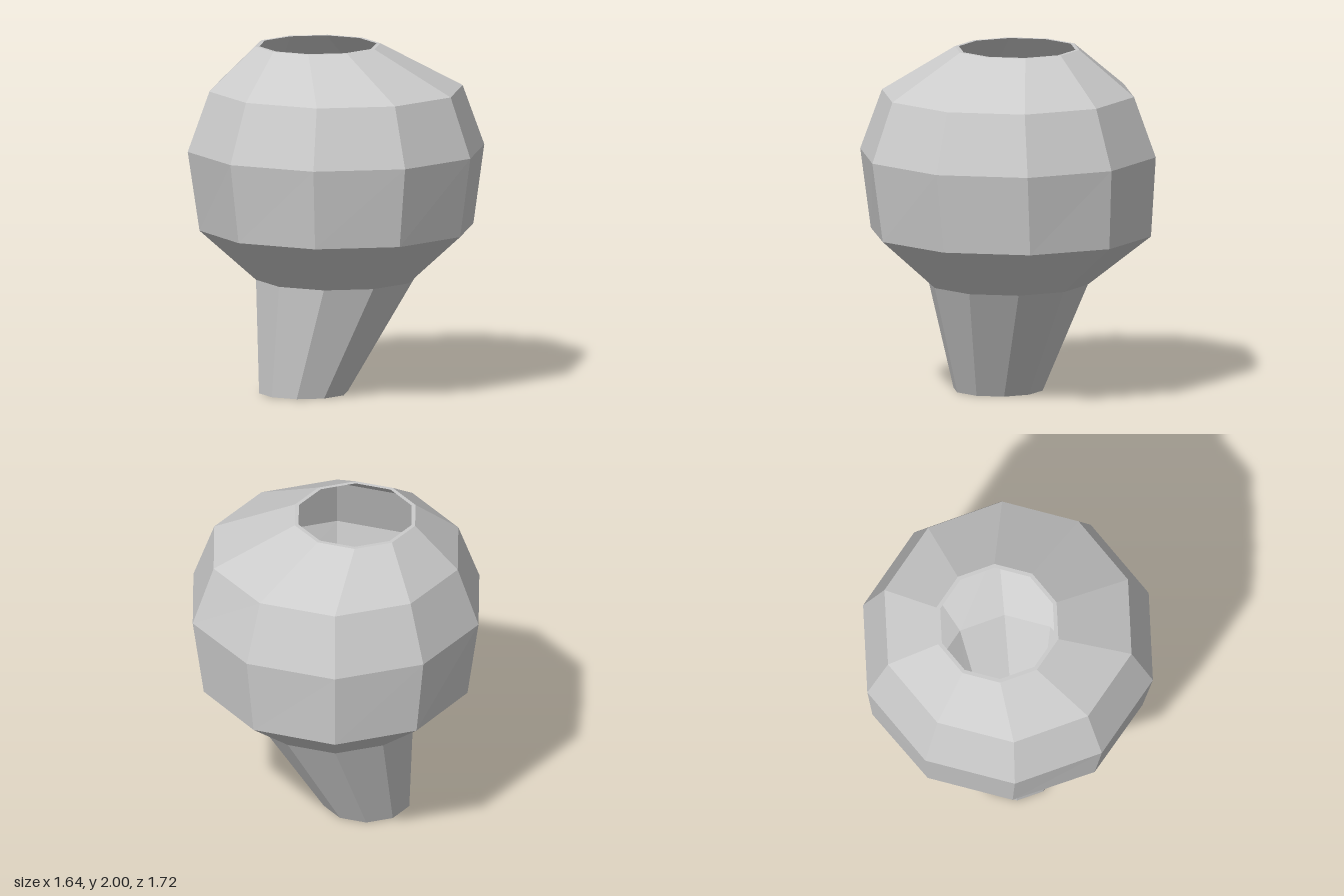
import * as THREE from 'three';

const SIDES = 10;

// Ten-sided rings: [centre x, y, centre z, radius along x, radius along z]
const OUTER = [
  [-0.175, 0, 0.09, 0.258, 0.26],      // foot
  [0, 0.655, 0, 0.465, 0.465],         // top of stem
  [0, 0.947, -0.017, 0.795, 0.817],    // underside edge
  [0, 1.408, 0, 0.862, 0.862],         // widest
  [0, 1.755, 0, 0.736, 0.735],         // shoulder
  [-0.11, 2, -0.033, 0.363, 0.363],    // mouth
];

// Inner wall: the same rings pulled in, with [radius inset, y shift]
const INSET = [[0.02, 0], [0.024, 0.008], [0.022, 0.01], [0.022, 0], [0.022, -0.01], [0.023, 0]];
const INNER = OUTER.map(([x, y, z, rx, rz], i) =>
  [x, y + INSET[i][1], z, rx - INSET[i][0], rz - INSET[i][0]]);

// Joins consecutive rings with flat quads
function loft(name, rings, material) {
  const pos = [];
  const corner = ([x, y, z, rx, rz], j) => {
    const a = (j % SIDES) / SIDES * Math.PI * 2;
    return [x + rx * Math.sin(a), y, z + rz * Math.cos(a)];
  };
  for (let i = 0; i < rings.length - 1; i++) {
    for (let j = 0; j < SIDES; j++) {
      const a = corner(rings[i], j), b = corner(rings[i], j + 1);
      const c = corner(rings[i + 1], j + 1), d = corner(rings[i + 1], j);
      pos.push(...a, ...b, ...c, ...a, ...c, ...d);
    }
  }
  const geometry = new THREE.BufferGeometry();
  geometry.setAttribute('position', new THREE.Float32BufferAttribute(pos, 3));
  geometry.computeVertexNormals();
  const mesh = new THREE.Mesh(geometry, material);
  mesh.name = name;
  return mesh;
}

export function createModel() {
  const group = new THREE.Group();
  group.name = 'vase';
  const material = new THREE.MeshStandardMaterial({ color: 0xcccccc, flatShading: true });
  const last = OUTER.length - 1;
  group.add(
    loft('stem', OUTER.slice(0, 2), material),
    loft('bowl', OUTER.slice(1), material),
    loft('innerWall', [...INNER].reverse(), material),
    loft('mouthRim', [OUTER[last], INNER[last]], material),
    loft('footRim', [INNER[0], OUTER[0]], material),
  );
  return group;
}
